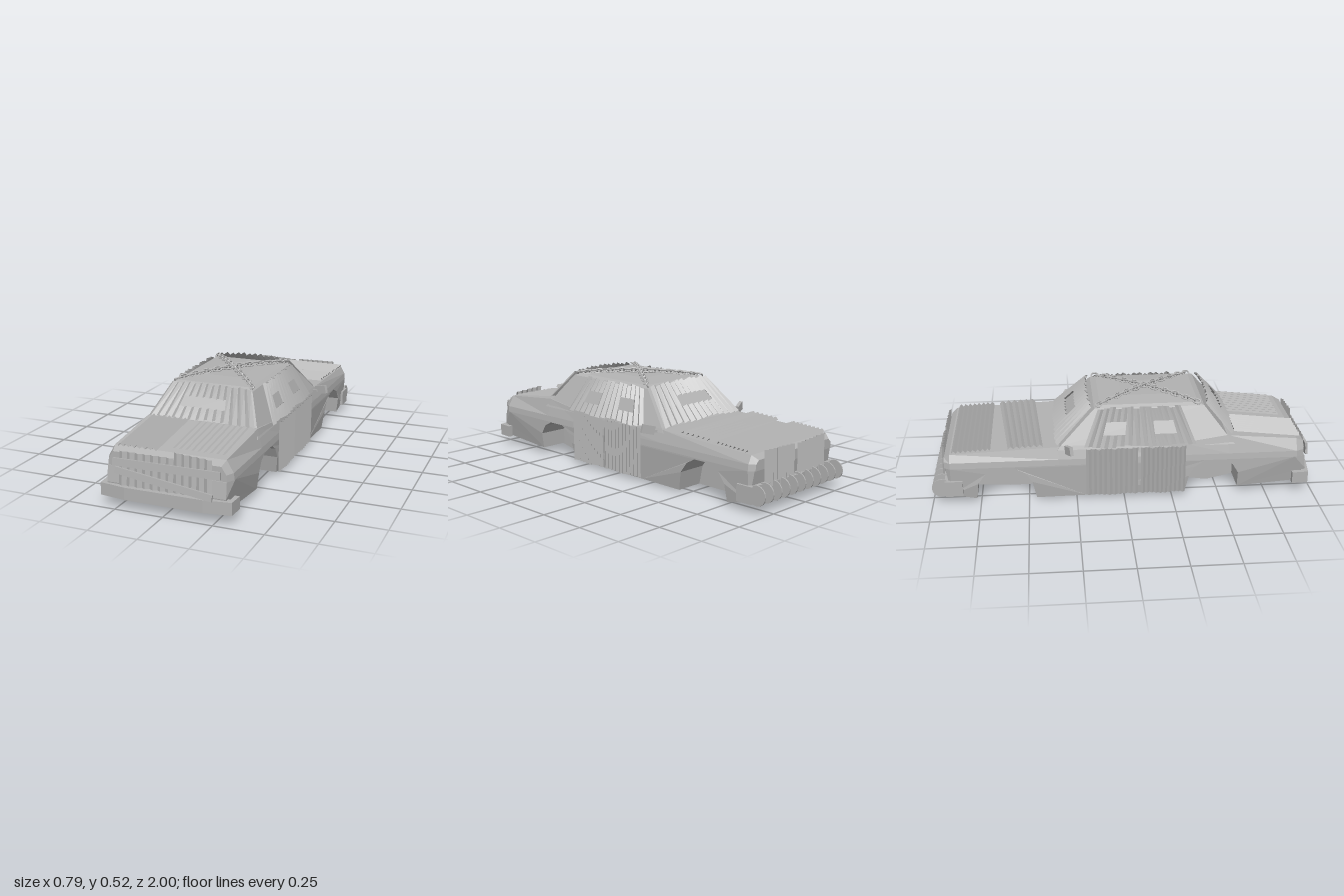
import * as THREE from 'three';

const steel = new THREE.MeshStandardMaterial({ color: 0xb2b2b2, flatShading: true, side: THREE.DoubleSide });
steel.name = 'bare steel';

function add(parent, name, geometry, pos = [0, 0, 0], rot = [0, 0, 0]) {
  const mesh = new THREE.Mesh(geometry, steel);
  mesh.name = name;
  mesh.position.set(...pos);
  mesh.rotation.set(...rot);
  parent.add(mesh);
  return mesh;
}

function fromTriangles(pos) {
  const g = new THREE.BufferGeometry();
  g.setAttribute('position', new THREE.Float32BufferAttribute(pos, 3));
  g.computeVertexNormals();
  return g;
}

// Skin between closed rings of points, with both ends capped
function loft(rings) {
  const pos = [], n = rings[0].length, last = rings[rings.length - 1];
  for (let i = 0; i + 1 < rings.length; i++) {
    for (let j = 0; j < n; j++) {
      const k = (j + 1) % n, a = rings[i][j], b = rings[i][k], c = rings[i + 1][k], d = rings[i + 1][j];
      pos.push(...a, ...b, ...c, ...a, ...c, ...d);
    }
  }
  for (let j = 1; j + 1 < n; j++) {
    pos.push(...rings[0][0], ...rings[0][j + 1], ...rings[0][j], ...last[0], ...last[j], ...last[j + 1]);
  }
  return fromTriangles(pos);
}

// Zigzag sheet over corners A B C D (bottom left, bottom right, top right, top left);
// ribs run from AB to DC, and slits are [u0, u1, v0, v1] openings
function corrugated(corners, ribs, amp, { bow = 0, slits = [], jag = 0 } = {}) {
  const [A, B, C, D] = corners.map(p => new THREE.Vector3(...p));
  const normal = B.clone().sub(A).cross(D.clone().sub(A)).normalize();
  const steps = ribs * 2, pos = [];
  const point = (i, v) => {
    const u = i / steps;
    const p = A.clone().lerp(B, u).lerp(D.clone().lerp(C, u), v);
    return p.addScaledVector(normal, (i % 2 ? amp : 0) + bow * (1 - (2 * u - 1) ** 2)).toArray();
  };
  for (let i = 0; i < steps; i++) {
    const mid = (i + 0.5) / steps, rib = Math.floor(i / 2);
    const lo = jag * Math.sin(rib * 7.3), hi = 1 + jag * Math.sin(rib * 4.1 + 1);
    const slit = slits.find(s => mid > s[0] && mid < s[1]);
    const spans = slit ? [[lo, slit[2]], [slit[3], hi]] : [[lo, hi]];
    for (const [v0, v1] of spans) {
      const a = point(i, v0), b = point(i + 1, v0), c = point(i + 1, v1), d = point(i, v1);
      pos.push(...a, ...b, ...c, ...a, ...c, ...d);
    }
  }
  return fromTriangles(pos);
}

// Extrude a (z, y) side outline from x0 to x1, drawing in the sills and corners
function sideExtrude(points, x0, x1) {
  const shape = new THREE.Shape(points.map(([z, y]) => new THREE.Vector2(-z, y)));
  const g = new THREE.ExtrudeGeometry(shape, { depth: x1 - x0, bevelEnabled: false });
  g.rotateY(Math.PI / 2).translate(x0, 0, 0);
  const p = g.attributes.position;
  for (let i = 0; i < p.count; i++) {
    const x = p.getX(i);
    if (Math.abs(x) < 0.3) continue;
    const inset = (p.getY(i) < 0.06 ? 0.012 : 0) + (Math.abs(p.getZ(i)) > 0.91 ? 0.02 : 0);
    p.setX(i, x - Math.sign(x) * inset);
  }
  g.computeVertexNormals();
  return g;
}

function buildBody(car) {
  const rearArch = [[0.6, 0.035], [0.6, 0.12], [0.57, 0.17], [0.52, 0.197], [0.42, 0.197], [0.37, 0.165], [0.34, 0.11], [0.32, 0.02]];
  const frontArch = [[-0.46, 0.012], [-0.48, 0.11], [-0.52, 0.165], [-0.57, 0.192], [-0.66, 0.192], [-0.72, 0.165], [-0.76, 0.11], [-0.77, 0.02]];
  const tail = [[0.9, 0.2], [0.955, 0.2], [0.965, 0.12], [0.95, 0.05]], nose = [[-0.9, 0.045], [-0.925, 0.2], [-0.9, 0.2]];
  add(car, 'floorCore', sideExtrude([...tail, [0.6, 0.03], [0.46, 0], [0.32, 0.02], [-0.2, 0.015], [-0.6, 0.01], [-0.77, 0.02], ...nose], -0.16, 0.16));
  for (const x0 of [0.16, -0.323]) {
    add(car, 'lowerSide', sideExtrude([...tail, ...rearArch, [-0.2, 0.015], ...frontArch, ...nose], x0, x0 + 0.163));
  }
  // Shoulders, bonnet and boot: z, belt half width, top half width, top height
  const sections = [
    [-0.93, 0.303, 0.28, 0.25], [-0.9, 0.323, 0.298, 0.272], [-0.34, 0.323, 0.3, 0.295], [0.3, 0.323, 0.305, 0.295],
    [0.55, 0.323, 0.295, 0.325], [0.91, 0.323, 0.285, 0.29], [0.95, 0.303, 0.275, 0.27],
  ];
  add(car, 'upperBody', loft(sections.map(([z, w, t, y]) => [
    [w, 0.2, z], [w - 0.004, 0.232, z], [t, y, z], [-t, y, z], [-w + 0.004, 0.232, z], [-w, 0.2, z],
  ])));
  // Cabin: half width, height, rear z, front z
  const levels = [[0.308, 0.28, 0.58, -0.345], [0.3, 0.3, 0.56, -0.33], [0.22, 0.468, 0.425, -0.15], [0.2, 0.48, 0.395, -0.12], [0.1, 0.49, 0.28, 0]];
  add(car, 'cabin', loft(levels.map(([w, y, r, f]) => [[w, y, r], [w, y, f], [-w, y, f], [-w, y, r]])));
}

function buildBumpers(car) {
  // Tail bumper with a bowed face and ends that wrap round the corners
  const shape = new THREE.Shape([[-0.34, 0.89], [-0.315, 0.89], [-0.315, 0.94], [0.315, 0.94], [0.315, 0.89], [0.34, 0.89], [0.335, 0.975],
    [0.2, 0.995], [-0.2, 0.995], [-0.335, 0.975]].map(([x, z]) => new THREE.Vector2(x, -z)));
  const g = new THREE.ExtrudeGeometry(shape, { depth: 0.063, bevelEnabled: false }).rotateX(-Math.PI / 2);
  add(car, 'tailBumper', g, [0, 0.052, 0]);
  // Nose bumper, slightly pointed, carrying upright half-round blades
  const nose = new THREE.Shape([[-0.33, -0.84], [-0.33, -0.93], [0, -0.955], [0.33, -0.93], [0.33, -0.84], [0.305, -0.84],
    [0.3, -0.9], [-0.3, -0.9], [-0.305, -0.84]].map(([x, z]) => new THREE.Vector2(x, -z)));
  add(car, 'noseBumper', new THREE.ExtrudeGeometry(nose, { depth: 0.085, bevelEnabled: false }).rotateX(-Math.PI / 2), [0, 0.045, 0]);
  for (let i = 0; i < 11; i++) {
    const blade = new THREE.CylinderGeometry(0.05, 0.05, 0.007, 16).rotateZ(Math.PI / 2);
    add(car, 'bumperBlade', blade, [(i - 5) * 0.0625, 0.09, -0.95]);
  }
}

function buildArmour(car) {
  // Window sheets with vision slits
  add(car, 'rearWindowArmour', corrugated([[-0.285, 0.328, 0.565], [0.285, 0.328, 0.565], [0.215, 0.475, 0.435], [-0.215, 0.475, 0.435]],
    13, 0.014, { bow: 0.018, slits: [[0.27, 0.73, 0.33, 0.62]], jag: 0.02 }));
  add(car, 'windscreenArmour', corrugated([[0.29, 0.3, -0.345], [-0.29, 0.3, -0.345], [-0.215, 0.475, -0.165], [0.215, 0.475, -0.165]],
    13, 0.014, { bow: 0.018, slits: [[0.27, 0.73, 0.38, 0.65]], jag: 0.02 }));

  // Boot lid sheets, ribs running lengthwise
  add(car, 'bootSheetCoarse', corrugated([[-0.26, 0.292, 0.93], [-0.06, 0.292, 0.93], [-0.06, 0.332, 0.58], [-0.26, 0.332, 0.58]], 7, 0.016));
  add(car, 'bootSheetFine', corrugated([[0, 0.298, 0.88], [0.28, 0.298, 0.88], [0.28, 0.334, 0.57], [0, 0.334, 0.57]], 9, 0.005));

  // Bonnet sheets, ribs running across
  add(car, 'bonnetSheetFront', corrugated([[-0.3, 0.277, -0.89], [-0.3, 0.288, -0.69], [0.3, 0.288, -0.69], [0.3, 0.277, -0.89]], 8, 0.014));
  add(car, 'bonnetSheetBack', corrugated([[-0.3, 0.291, -0.6], [-0.3, 0.3, -0.42], [0.3, 0.3, -0.46], [0.3, 0.29, -0.66]], 6, 0.014));

  // Tail sheets and crossed planks
  add(car, 'tailSheet', corrugated([[-0.24, 0.115, 0.967], [0.04, 0.115, 0.967], [0.04, 0.278, 0.95], [-0.24, 0.278, 0.95]], 7, 0.012));
  add(car, 'tailSheetRaised', corrugated([[0.04, 0.118, 0.968], [0.235, 0.115, 0.968], [0.23, 0.295, 0.95], [0.042, 0.308, 0.95]], 5, 0.012));
  add(car, 'tailPlank', new THREE.BoxGeometry(0.545, 0.037, 0.012), [0.008, 0.232, 0.974], [-0.1, 0, 0.007]);
  add(car, 'tailPlank', new THREE.BoxGeometry(0.5, 0.033, 0.012), [-0.003, 0.16, 0.984], [-0.1, 0, -0.135]);

  // Grille sheets
  add(car, 'grilleSheet', corrugated([[0.24, 0.11, -0.936], [0.01, 0.11, -0.94], [0.01, 0.285, -0.934], [0.24, 0.29, -0.93]], 7, 0.012));
  add(car, 'grilleSheet', corrugated([[-0.01, 0.11, -0.94], [-0.24, 0.11, -0.936], [-0.24, 0.29, -0.93], [-0.01, 0.28, -0.934]], 7, 0.012));
}

// Door sheets, side window sheet and mirror for one flank
function buildFlank(name) {
  const flank = new THREE.Group();
  flank.name = name;
  for (const [z0, z1] of [[0.32, 0.085], [0.07, -0.2]]) {
    add(flank, 'doorSheet', corrugated([[0.322, 0.022, z0], [0.322, 0.022, z1], [0.325, 0.288, z1], [0.325, 0.288, z0]], 10, 0.01, { jag: 0.012 }));
  }
  add(flank, 'sideWindowArmour', corrugated([[0.312, 0.29, 0.375], [0.312, 0.29, -0.21], [0.228, 0.472, -0.13], [0.228, 0.472, 0.3]],
    14, 0.013, { slits: [[0.14, 0.36], [0.64, 0.86]].map(s => [...s, 0.3, 0.64]), jag: 0.03 }));
  add(flank, 'mirrorArm', new THREE.BoxGeometry(0.05, 0.012, 0.012), [0.312, 0.285, -0.295], [0, -0.38, 0.2]);
  add(flank, 'mirror', new THREE.BoxGeometry(0.07, 0.044, 0.018), [0.357, 0.3, -0.288], [0, -0.38, 0.25]);
  return flank;
}

// Chain of alternately turned oval links draped from corner to corner of the roof
function buildChain(name, side) {
  const chain = new THREE.Group(), links = 21;
  chain.name = name;
  const curve = new THREE.QuadraticBezierCurve3(
    new THREE.Vector3(-0.21 * side, 0.482, -0.135), new THREE.Vector3(0, 0.526, 0.13), new THREE.Vector3(0.21 * side, 0.482, 0.4));
  const link = new THREE.TorusGeometry(0.0135, 0.0048, 6, 12).scale(1, 1, 1);
  const p = link.attributes.position;
  for (let i = 0; i < p.count; i++) p.setX(i, p.getX(i) + Math.sign(Math.round(p.getX(i) * 1e4)) * 0.009);
  link.computeVertexNormals();
  for (let i = 0; i < links; i++) {
    const t = (i + 0.5) / links;
    const mesh = add(chain, 'chainLink', link, curve.getPointAt(t).toArray());
    mesh.quaternion.setFromUnitVectors(new THREE.Vector3(1, 0, 0), curve.getTangentAt(t));
    mesh.rotateX(i % 2 ? Math.PI / 4 : -Math.PI / 4);
  }
  return chain;
}

export function createModel() {
  const car = new THREE.Group();
  car.name = 'armouredCar';
  buildBody(car);
  buildBumpers(car);
  buildArmour(car);
  const right = buildFlank('rightFlank');
  right.scale.x = -1;
  car.add(buildFlank('leftFlank'), right, buildChain('roofChainA', 1), buildChain('roofChainB', -1));
  return car;
}
